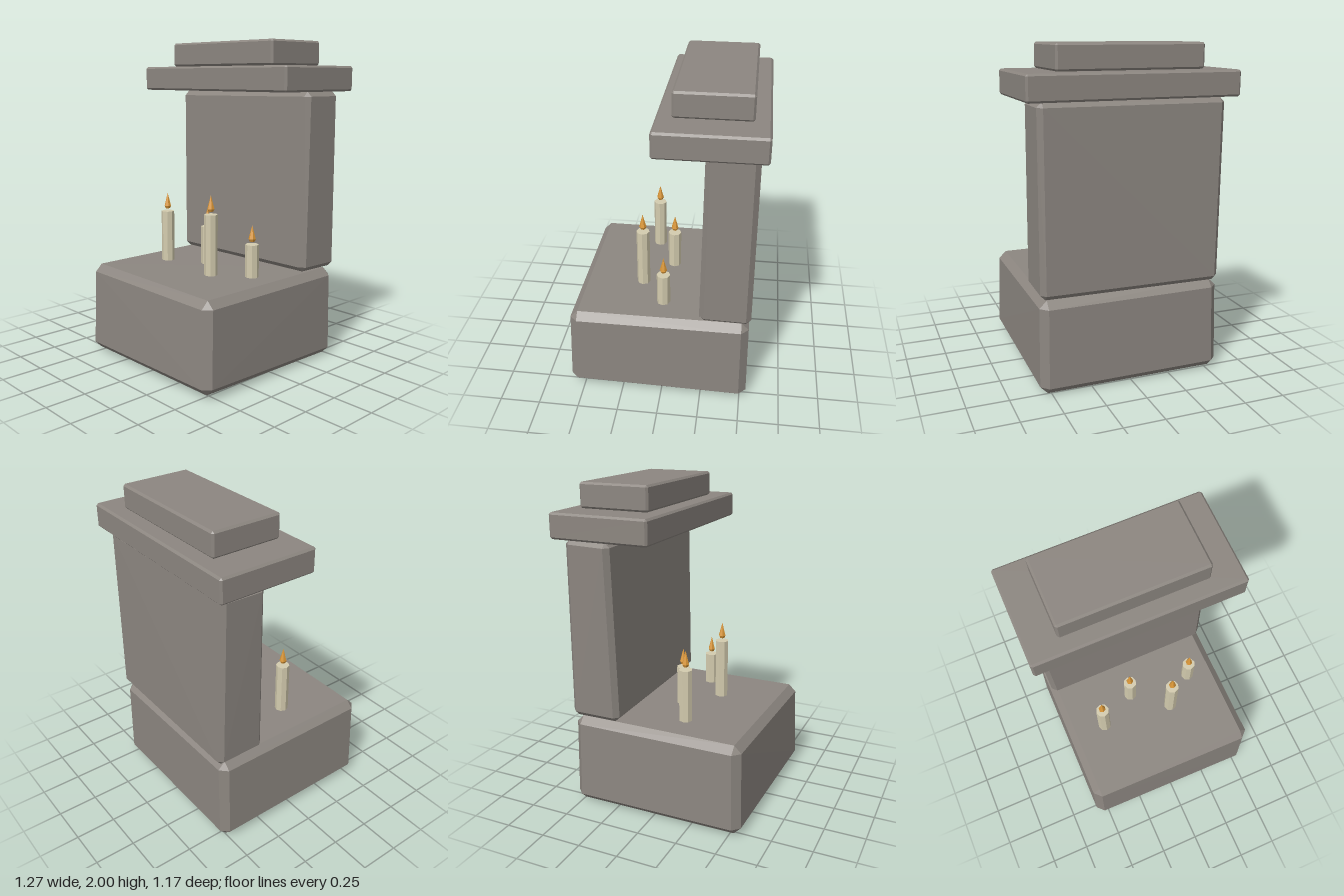
import * as THREE from 'three';
import { ConvexGeometry } from 'three/addons/geometries/ConvexGeometry.js';

const mat = (name, color, flatShading = true) => {
  const m = new THREE.MeshStandardMaterial({ color, flatShading });
  m.name = name;
  return m;
};

// Chamfered block from eight corners: each corner becomes three points
function block(name, corners, c, material) {
  const mid = corners.reduce((s, p) => s.map((v, i) => v + p[i] / 8), [0, 0, 0]);
  const points = [];
  for (const p of corners) {
    for (let keep = 0; keep < 3; keep++) {
      points.push(new THREE.Vector3(...p.map((v, i) =>
        i === keep ? v : v - Math.sign(v - mid[i]) * c)));
    }
  }
  const mesh = new THREE.Mesh(new ConvexGeometry(points), material);
  mesh.name = name;
  return mesh;
}

// Corners of a straight box
function boxCorners(x0, x1, y0, y1, z0, z1) {
  const out = [];
  for (const x of [x0, x1]) for (const y of [y0, y1]) for (const z of [z0, z1]) out.push([x, y, z]);
  return out;
}

export function createModel() {
  const group = new THREE.Group();
  group.name = 'candleShrine';
  const stone = mat('stone', 0x8c8680);
  const wax = mat('wax', 0xd3cbae);
  const fire = mat('flame', 0xdc9838);

  // Roughly hewn base block
  group.add(block('base', [
    [-0.575, 0.01, 0.57], [0.572, 0.025, 0.585], [-0.575, 0.005, -0.54], [0.565, 0.0, -0.54],
    [-0.563, 0.578, 0.558], [0.562, 0.57, 0.568], [-0.563, 0.578, -0.535], [0.56, 0.572, -0.535],
  ], 0.045, stone));

  // Leaning upright slab
  group.add(block('uprightSlab', [
    [-0.553, 0.582, -0.23], [0.56, 0.59, -0.232], [-0.555, 0.582, -0.55], [0.56, 0.585, -0.545],
    [-0.576, 1.685, -0.246], [0.56, 1.695, -0.246], [-0.573, 1.69, -0.535], [0.56, 1.695, -0.542],
  ], 0.03, stone));

  // Stepped cap
  group.add(block('capLower', boxCorners(-0.635, 0.632, 1.695, 1.847, -0.585, 0.037), 0.012, stone));
  group.add(block('capUpper', boxCorners(-0.446, 0.443, 1.85, 2, -0.495, -0.053), 0.012, stone));

  // Candles: x, z, top height
  const candles = [[-0.315, 0.116, 0.907], [-0.068, -0.014, 0.822], [0.154, 0.162, 0.954], [0.355, 0.006, 0.776]];
  const flameProfile = [[0, 0], [0.015, 0], [0.023, 0.016], [0, 0.12 - 0.018]]
    .map(([x, y]) => new THREE.Vector2(x, y));
  const flameGeometry = new THREE.LatheGeometry(flameProfile, 6);
  for (const [x, z, top] of candles) {
    const candle = new THREE.Group();
    candle.name = 'candle';
    const height = top - 0.57;
    const body = new THREE.Mesh(new THREE.CylinderGeometry(0.042, 0.042, height, 8), wax);
    body.name = 'candleBody';
    body.position.y = 0.57 + height / 2;
    const flame = new THREE.Mesh(flameGeometry, fire);
    flame.name = 'candleFlame';
    flame.position.y = top + 0.018;
    candle.add(body, flame);
    candle.position.set(x, 0, z);
    group.add(candle);
  }
  return group;
}
